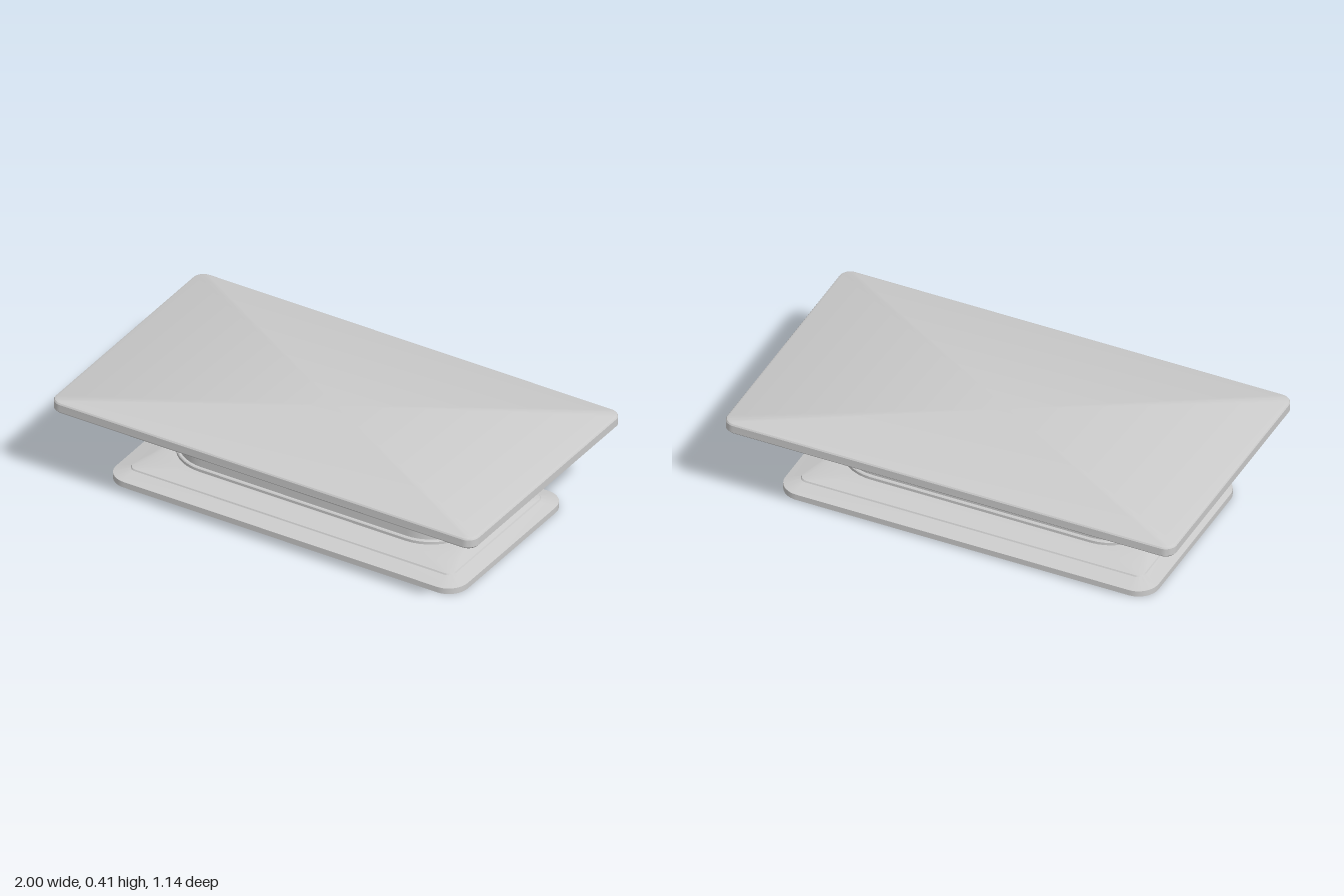
import * as THREE from 'three';
import { toCreasedNormals } from 'three/addons/utils/BufferGeometryUtils.js';

const CORNER_STEPS = 10;

// Counter-clockwise rounded rectangle at height y: half width, half depth, corner radius
function ring([y, hx, hz, r]) {
  const points = [];
  const signs = [[1, 1], [-1, 1], [-1, -1], [1, -1]];
  signs.forEach(([sx, sz], corner) => {
    for (let i = 0; i <= CORNER_STEPS; i++) {
      const a = (corner + i / CORNER_STEPS) * Math.PI / 2;
      points.push([sx * (hx - r) + r * Math.cos(a), y, -(sz * (hz - r) + r * Math.sin(a))]);
    }
  });
  return points;
}

// Closed solid through rounded-rectangle sections listed from bottom to top
function loft(name, sections, material) {
  const rings = sections.map(ring);
  const n = rings[0].length;
  const positions = rings.flat(2);
  const index = [];
  for (let i = 0; i < rings.length - 1; i++) {
    for (let j = 0; j < n; j++) {
      const k = (j + 1) % n;
      const a = i * n + j, b = i * n + k, c = b + n, d = a + n;
      index.push(a, b, c, a, c, d);
    }
  }
  // End caps
  const bottom = positions.length / 3, top = bottom + 1;
  positions.push(0, sections[0][0], 0, 0, sections.at(-1)[0], 0);
  const last = (rings.length - 1) * n;
  for (let j = 0; j < n; j++) {
    const k = (j + 1) % n;
    index.push(bottom, k, j, top, last + j, last + k);
  }
  const geometry = new THREE.BufferGeometry();
  geometry.setAttribute('position', new THREE.Float32BufferAttribute(positions, 3));
  geometry.setIndex(index);
  const mesh = new THREE.Mesh(toCreasedNormals(geometry, 0.45), material);
  mesh.name = name;
  return mesh;
}

export function createModel() {
  const model = new THREE.Group();
  model.name = 'pedestalTable';
  const grey = new THREE.MeshStandardMaterial({ color: 0xcccccc });

  // Stepped foot: flat slab, shallow slope, small step, domed rise
  model.add(loft('base', [
    [0, 0.83, 0.423, 0.09],
    [0.026, 0.83, 0.423, 0.09],
    [0.043, 0.765, 0.353, 0.035],
    [0.049, 0.762, 0.35, 0.035],
    [0.06, 0.728, 0.31, 0.09],
    [0.067, 0.705, 0.282, 0.14],
    [0.07, 0.69, 0.265, 0.19],
  ], grey));

  // Thin ring around the foot of the column
  model.add(loft('collar', [
    [0.068, 0.683, 0.256, 0.195],
    [0.082, 0.683, 0.256, 0.195],
    [0.086, 0.679, 0.252, 0.191],
  ], grey));

  model.add(loft('column', [
    [0.08, 0.67, 0.244, 0.185],
    [0.358, 0.67, 0.244, 0.185],
  ], grey));

  // Slab with softened upper and lower rims
  model.add(loft('tableTop', [
    [0.355, 0.983, 0.553, 0.033],
    [0.359, 0.993, 0.563, 0.043],
    [0.367, 1, 0.57, 0.05],
    [0.4, 1, 0.57, 0.05],
    [0.406, 0.996, 0.566, 0.046],
    [0.41, 0.986, 0.556, 0.036],
  ], grey));

  return model;
}
